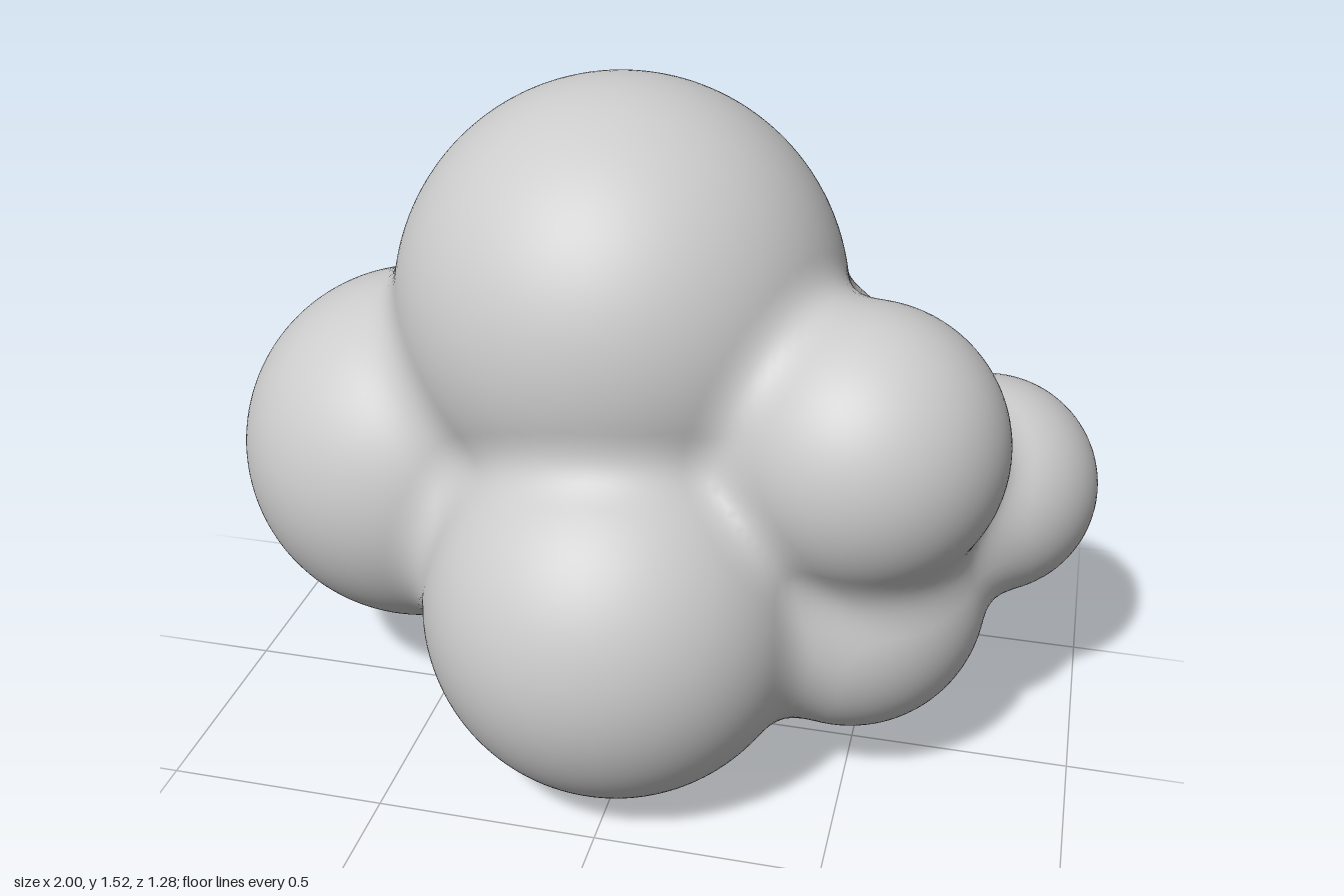
import * as THREE from 'three';

// Balls that melt together: x, y, z, radius
const BALLS = [
  [-0.09, 1.01, -0.13, 0.51], // top
  [-0.58, 0.60, -0.12, 0.42], // right side
  [-0.02, 0.43, 0.21, 0.43],  // front base
  [0.49, 0.82, 0.08, 0.315],  // upper left
  [0.47, 0.41, 0.0, 0.31],    // lower left
  [0.26, 0.72, -0.31, 0.31],  // back
  [0.745, 0.575, -0.27, 0.255], // small outer
];
const BLEND = 0.1;
const STEP = 0.02;
const MIN = [-1.06, -0.06, -0.72];
const COUNT = [107, 84, 72];

// Signed distance to the balls, joined with soft fillets
function field(x, y, z) {
  let d = Infinity;
  for (const [cx, cy, cz, r] of BALLS) {
    const e = Math.hypot(x - cx, y - cy, z - cz) - r;
    const h = Math.max(BLEND - Math.abs(d - e), 0);
    d = Math.min(d, e) - (h * h) / (4 * BLEND);
  }
  return d;
}

function gradient([x, y, z]) {
  const e = 1e-4;
  return [
    (field(x + e, y, z) - field(x - e, y, z)) / (2 * e),
    (field(x, y + e, z) - field(x, y - e, z)) / (2 * e),
    (field(x, y, z + e) - field(x, y, z - e)) / (2 * e),
  ];
}

// Surface net over a regular grid, with its points pulled onto the exact surface
function blendedGeometry() {
  const [nx, ny, nz] = COUNT;
  const stride = [1, nx, nx * ny];
  const values = new Float32Array(nx * ny * nz);
  const eachCell = (visit) => {
    for (let k = 1; k < nz - 1; k++)
      for (let j = 1; j < ny - 1; j++)
        for (let i = 1; i < nx - 1; i++) visit([i, j, k], i + j * nx + k * nx * ny);
  };
  for (let k = 0, n = 0; k < nz; k++)
    for (let j = 0; j < ny; j++)
      for (let i = 0; i < nx; i++, n++)
        values[n] = field(MIN[0] + i * STEP, MIN[1] + j * STEP, MIN[2] + k * STEP);

  // One point per cell that the surface crosses
  const positions = [], normals = [], indices = [];
  const pointOf = new Int32Array(values.length).fill(-1);
  eachCell((cell, n) => {
    const sum = [0, 0, 0];
    let hits = 0;
    for (let c = 0; c < 8; c++) {
      const corner = [c & 1, (c >> 1) & 1, c >> 2];
      const a = n + corner[0] + corner[1] * stride[1] + corner[2] * stride[2];
      for (let axis = 0; axis < 3; axis++) {
        if (corner[axis]) continue;
        const va = values[a], vb = values[a + stride[axis]];
        if (va < 0 === vb < 0) continue;
        hits++;
        for (let m = 0; m < 3; m++) sum[m] += corner[m] + (m === axis ? va / (va - vb) : 0);
      }
    }
    if (!hits) return;
    const p = sum.map((s, m) => MIN[m] + (cell[m] + s / hits) * STEP);
    for (let pass = 0; pass < 3; pass++) {
      const g = gradient(p), f = field(...p);
      const scale = f / (g[0] * g[0] + g[1] * g[1] + g[2] * g[2]);
      for (let m = 0; m < 3; m++) p[m] -= g[m] * scale;
    }
    const g = gradient(p), len = Math.hypot(...g);
    pointOf[n] = positions.length / 3;
    positions.push(...p);
    normals.push(g[0] / len, g[1] / len, g[2] / len);
  });

  // One quad around every grid edge that the surface crosses
  eachCell((cell, n) => {
    for (let axis = 0; axis < 3; axis++) {
      const inside = values[n] < 0;
      if (inside === values[n + stride[axis]] < 0) continue;
      const v = stride[(axis + 1) % 3], w = stride[(axis + 2) % 3];
      const [a, b, c, d] = [n, n - v, n - v - w, n - w].map((q) => pointOf[q]);
      if (inside) indices.push(a, b, c, a, c, d);
      else indices.push(a, c, b, a, d, c);
    }
  });

  const geometry = new THREE.BufferGeometry();
  geometry.setAttribute('position', new THREE.Float32BufferAttribute(positions, 3));
  geometry.setAttribute('normal', new THREE.Float32BufferAttribute(normals, 3));
  geometry.setIndex(indices);
  return geometry;
}

export function createModel() {
  const group = new THREE.Group();
  group.name = 'blobCluster';
  const body = new THREE.Mesh(
    blendedGeometry(),
    new THREE.MeshStandardMaterial({ color: 0xcccccc })
  );
  body.name = 'blendedBalls';
  group.add(body);
  return group;
}
